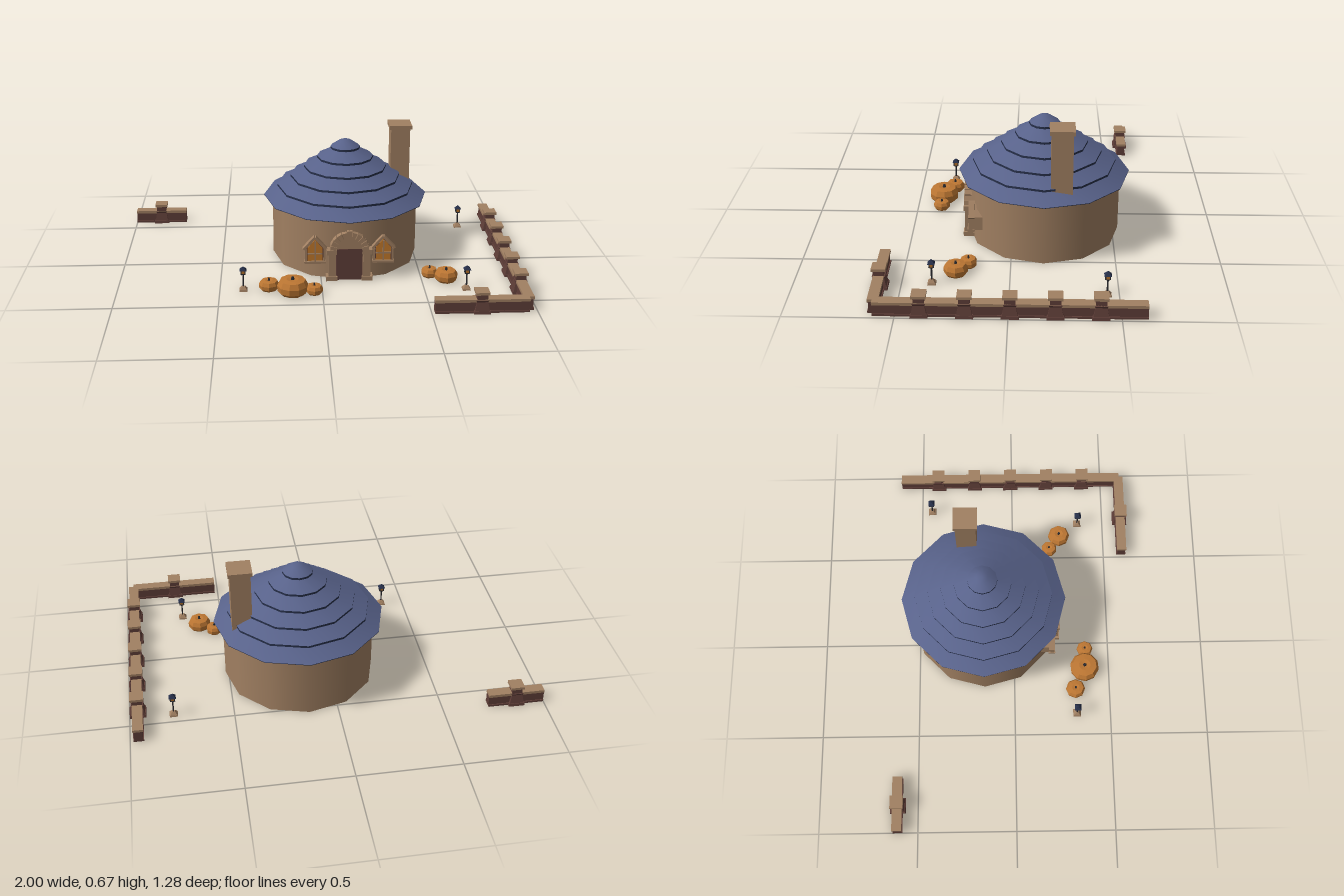
import * as THREE from 'three';
import { toCreasedNormals } from 'three/addons/utils/BufferGeometryUtils.js';

const mat = (name, color, side = THREE.FrontSide) => {
  const m = new THREE.MeshStandardMaterial({ color, side });
  m.name = name;
  return m;
};

export function createModel() {
  const stone = mat('tan stone', 0xa18062);
  const slate = mat('blue slate', 0x58628a, THREE.DoubleSide);
  const navy = mat('dark navy', 0x27304a, THREE.DoubleSide);
  const wood = mat('dark red wood', 0x5f3e38);
  const orange = mat('pumpkin orange', 0xbd7733);
  const amber = mat('amber glass', 0xc47a2c);
  const iron = mat('dark iron', 0x2b2b30);

  const model = new THREE.Group();
  model.name = 'cottage';

  const group = (name, x, y, z, parent = model) => {
    const g = new THREE.Group();
    g.name = name;
    g.position.set(x, y, z);
    parent.add(g);
    return g;
  };
  const add = (parent, name, geo, material, x = 0, y = 0, z = 0) => {
    const m = new THREE.Mesh(geo, material);
    m.name = name;
    m.position.set(x, y, z);
    parent.add(m);
    return m;
  };
  // box given by its size and the height of its underside
  const box = (parent, name, material, w, h, d, x, y, z) =>
    add(parent, name, new THREE.BoxGeometry(w, h, d), material, x, y + h / 2, z);
  // square block that tapers from width a to width b
  const taper = (parent, name, material, a, b, h, y) => {
    const g = new THREE.CylinderGeometry(b / Math.SQRT2, a / Math.SQRT2, h, 4).rotateY(Math.PI / 4);
    return add(parent, name, toCreasedNormals(g, 0.3), material, 0, y + h / 2, 0);
  };
  const lathe = (points, sides, crease) =>
    toCreasedNormals(new THREE.LatheGeometry(points.map(p => new THREE.Vector2(...p)), sides), crease);

  // round house, local z = 0 at the centre of the tower
  const house = group('house', 0.14, 0, -0.155);
  add(house, 'wall', new THREE.CylinderGeometry(0.375, 0.375, 0.325, 12), stone, 0, 0.1625, 0);

  // stepped roof: each tier has a dark lip and a slate slope
  const roof = group('roof', 0, 0.317, 0, house);
  const tierR = i => 0.42 - 0.069 * i;
  for (let i = 0; i < 6; i++) {
    const r = tierR(i), y = i * 0.05, lip = i ? 0.011 : 0.003;
    add(roof, 'tierLip', lathe([[i ? r - 0.03 : 0.3, y], [r, y], [r, y + lip]], 12, 0.6), navy);
    const slope = i < 5
      ? [[r, y + lip], [tierR(i + 1) - 0.012, y + 0.052]]
      : [[r, y + lip], [0.03, 0.292], [0, 0.298]];
    add(roof, 'tierSlope', lathe(slope, 12, 0.6), slate);
  }

  // chimney
  const chimney = group('chimney', 0.288, 0, -0.082, house);
  box(chimney, 'chimneyShaft', stone, 0.098, 0.345, 0.103, 0, 0.31, 0);
  box(chimney, 'chimneyCap', stone, 0.116, 0.02, 0.119, 0, 0.652, 0);

  // doorway with columns and a ring of arch stones
  const doorway = group('doorway', 0, 0, 0.375, house);
  box(doorway, 'door', wood, 0.13, 0.165, 0.03, 0, 0, -0.008);
  const fan = new THREE.CylinderGeometry(0.07, 0.07, 0.03, 16, 1, false, Math.PI / 2, Math.PI).rotateX(Math.PI / 2);
  add(doorway, 'archFill', fan, stone, 0, 0.165, -0.01);
  for (const s of [-1, 1]) {
    box(doorway, 'columnBase', stone, 0.056, 0.022, 0.06, s * 0.088, 0, -0.008);
    box(doorway, 'columnShaft', stone, 0.036, 0.12, 0.05, s * 0.086, 0.022, -0.01);
    box(doorway, 'columnCapital', stone, 0.05, 0.024, 0.058, s * 0.088, 0.14, -0.009);
  }
  const stones = 11;
  for (let i = 0; i < stones; i++) {
    const a = (i + 0.5) / stones * Math.PI, half = Math.PI / stones / 2 * 0.9;
    const big = i === 5 ? 0.104 : 0.097;
    const s = new THREE.Shape([[0.066, a - half], [big, a - half], [big, a + half], [0.066, a + half]]
      .map(([r, t]) => new THREE.Vector2(r * Math.cos(t), r * Math.sin(t))));
    add(doorway, 'archStone', new THREE.ExtrudeGeometry(s, { depth: 0.05, bevelEnabled: false }),
      stone, 0, 0.16, -0.032);
  }

  // gabled windows either side of the door
  const gable = (w, h, peak) => new THREE.Shape([[-w, 0], [w, 0], [w, h], [0, peak], [-w, h]]
    .map(p => new THREE.Vector2(...p)));
  const slab = (shape, depth) => new THREE.ExtrudeGeometry(shape, { depth, bevelEnabled: false });
  for (const s of [-1, 1]) {
    const win = group('window', s * 0.17, 0.09, 0.35, house);
    add(win, 'windowBacking', slab(gable(0.046, 0.07, 0.122), 0.07), stone, 0, 0, -0.07);
    add(win, 'windowSurround', slab(gable(0.046, 0.07, 0.122), 0.008), wood);
    add(win, 'windowGlass', slab(gable(0.037, 0.068, 0.112), 0.004), amber, 0, 0.007, 0.007);
    box(win, 'mullion', stone, 0.007, 0.112, 0.008, 0, 0, 0.012);
    box(win, 'crossbar', stone, 0.076, 0.007, 0.008, 0, 0.042, 0.012);
    box(win, 'sill', stone, 0.108, 0.012, 0.035, 0, -0.006, 0.003);
    for (const t of [-1, 1]) {
      box(win, 'windowJamb', stone, 0.01, 0.07, 0.02, t * 0.046, 0, 0.005);
      const trim = box(win, 'gableTrim', stone, 0.084, 0.013, 0.03, t * 0.028, 0.0935, 0);
      trim.rotation.z = -t * 0.83;
    }
  }

  // low garden walls with capped posts
  const fence = (x, z, length, turn, posts) => {
    const f = group('gardenWall', x, 0, z);
    f.rotation.y = turn;
    box(f, 'wallFoot', wood, length, 0.01, 0.05, 0, 0, 0);
    box(f, 'wallBody', wood, length, 0.048, 0.04, 0, 0.008, 0);
    box(f, 'wallRail', stone, length, 0.014, 0.05, 0, 0.055, 0);
    for (const p of posts) {
      const post = group('wallPost', p, 0, 0, f);
      taper(post, 'postFoot', wood, 0.08, 0.076, 0.014, 0);
      taper(post, 'postBody', wood, 0.07, 0.052, 0.044, 0.014);
      taper(post, 'postCollar', wood, 0.052, 0.06, 0.01, 0.056);
      taper(post, 'postNeck', wood, 0.05, 0.05, 0.034, 0.064);
      taper(post, 'postCap', stone, 0.066, 0.066, 0.013, 0.094);
    }
  };
  fence(0.96, -0.008, 1.215, -Math.PI / 2, [-0.4, -0.2, 0, 0.2, 0.4]);
  fence(0.738, 0.597, 0.445, 0, [-0.003]);
  fence(-0.862, -0.603, 0.276, 0, [0]);

  // lamp posts
  for (const [x, z] of [[-0.385, 0.325], [0.705, 0.36], [0.79, -0.445]]) {
    const lamp = group('lampPost', x, 0, z);
    taper(lamp, 'lampFoot', stone, 0.04, 0.036, 0.008, 0);
    taper(lamp, 'lampBase', stone, 0.034, 0.014, 0.014, 0.008);
    add(lamp, 'lampPole', new THREE.CylinderGeometry(0.004, 0.004, 0.07, 6), iron, 0, 0.052, 0);
    taper(lamp, 'lanternTray', iron, 0.014, 0.026, 0.006, 0.083);
    taper(lamp, 'lanternGlass', amber, 0.016, 0.02, 0.018, 0.089);
    for (const sx of [-1, 1]) for (const sz of [-1, 1])
      box(lamp, 'lanternBar', iron, 0.004, 0.018, 0.004, sx * 0.01, 0.089, sz * 0.01);
    taper(lamp, 'lanternRoof', navy, 0.034, 0.012, 0.014, 0.107);
    taper(lamp, 'lanternTip', navy, 0.008, 0.004, 0.005, 0.121);
  }

  // faceted pumpkins: x, z, radius, height
  const pumpkins = [
    [-0.26, 0.32, 0.05, 0.05], [-0.145, 0.37, 0.076, 0.077], [-0.04, 0.375, 0.042, 0.045],
    [0.545, 0.2, 0.042, 0.046], [0.62, 0.255, 0.058, 0.06]];
  pumpkins.forEach(([x, z, r, h], i) => {
    const p = group('pumpkin', x, 0, z);
    p.rotation.y = 0.4 * i;
    const profile = [[0, 0], [0.75, 0], [0.97, 0.22], [1, 0.6], [0.82, 0.94], [0.4, 1], [0, 0.93]]
      .map(([a, b]) => [a * r, b * h]);
    add(p, 'pumpkinBody', lathe(profile, i === 1 ? 10 : 8, 0.1), orange);
    add(p, 'pumpkinStem', new THREE.CylinderGeometry(r * 0.08, r * 0.14, 0.016, 5), iron, 0, h + 0.003, 0);
  });

  return model;
}
